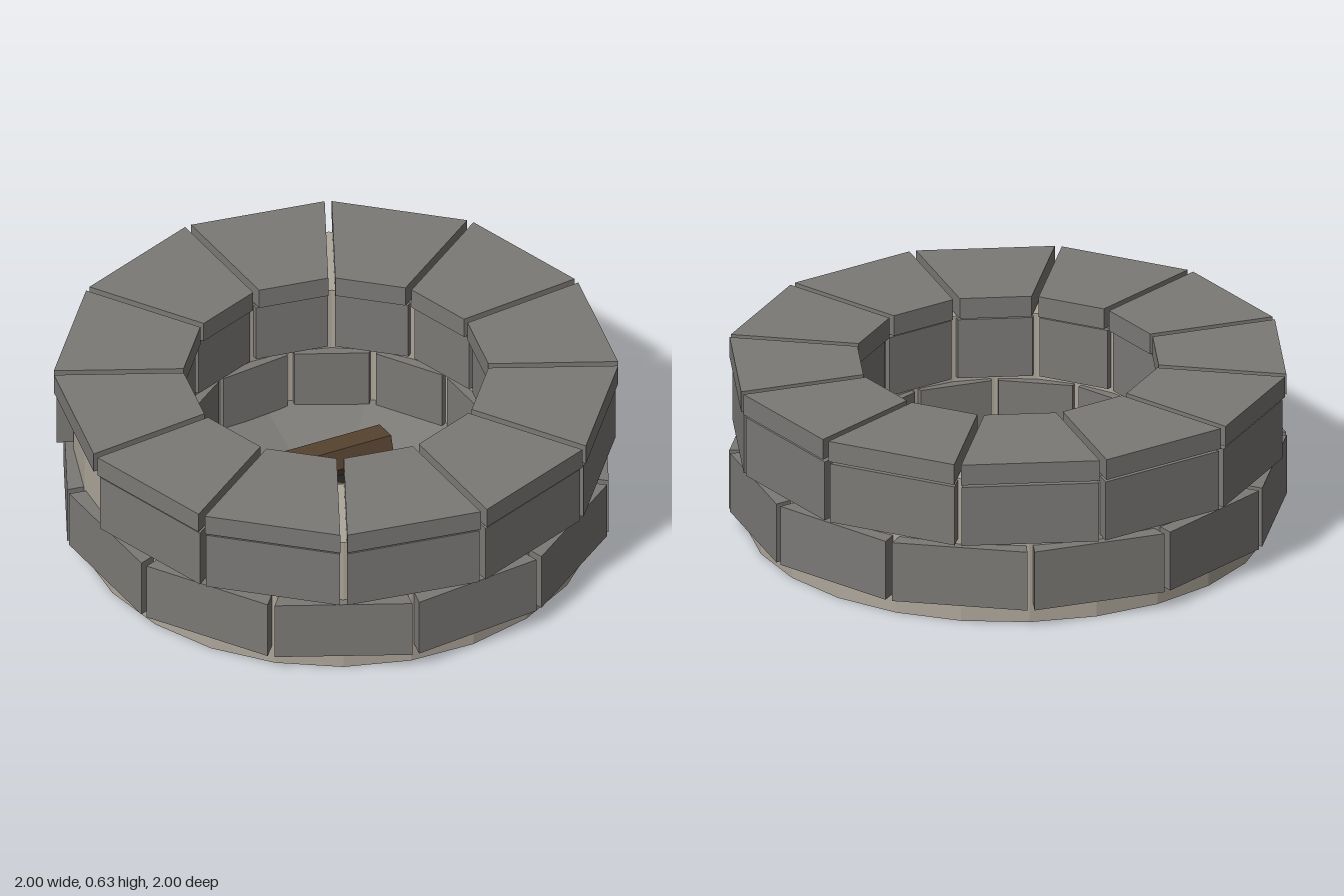
import * as THREE from 'three';

const mat = (name, color, side = THREE.FrontSide) => {
  const m = new THREE.MeshStandardMaterial({ color, side });
  m.name = name;
  return m;
};

const flat = (geo) => {
  const g = geo.index ? geo.toNonIndexed() : geo;
  g.computeVertexNormals();
  return g;
};

const part = (name, geo, material, parent) => {
  const mesh = new THREE.Mesh(geo, material);
  mesh.name = name;
  parent.add(mesh);
  return mesh;
};

const COUNT = 12;
const HALF_GAP = 0.0125;

// Wedge-shaped block centred on +z, with parallel-sided joints
function blockGeometry(inner, outer, y0, y1) {
  const corner = (r, s) => {
    const a = s * (Math.PI / COUNT - Math.asin(HALF_GAP / r));
    return new THREE.Vector2(r * Math.sin(a), -r * Math.cos(a));
  };
  const shape = new THREE.Shape([corner(outer, -1), corner(outer, 1), corner(inner, 1), corner(inner, -1)]);
  const geo = new THREE.ExtrudeGeometry(shape, { depth: y1 - y0, bevelEnabled: false });
  return geo.rotateX(-Math.PI / 2).translate(0, y0, 0);
}

// Six-sided log between two points
function log(name, from, to, radius, material, parent) {
  const a = new THREE.Vector3(...from);
  const b = new THREE.Vector3(...to);
  const dir = b.clone().sub(a);
  const geo = flat(new THREE.CylinderGeometry(radius, radius, dir.length(), 6));
  const mesh = part(name, geo, material, parent);
  mesh.position.copy(a).add(b).multiplyScalar(0.5);
  mesh.quaternion.setFromUnitVectors(new THREE.Vector3(0, 1, 0), dir.normalize());
}

export function createModel() {
  const root = new THREE.Group();
  root.name = 'firePit';

  const stone = mat('stone grey', 0x7b7976);
  const bowlStone = mat('bowl grey', 0x7b7976, THREE.DoubleSide);
  const mortar = mat('mortar tan', 0xaea69a, THREE.DoubleSide);
  const ash = mat('ash black', 0x222222, THREE.DoubleSide);
  const wood = mat('log brown', 0x5a4632);

  // Rows of blocks; the middle row has one block missing
  const rows = [
    { name: 'lowerBlocks', inner: 0.56, outer: 0.99, y0: 0.07, y1: 0.295, turn: 0 },
    { name: 'middleBlocks', inner: 0.56, outer: 0.99, y0: 0.315, y1: 0.54, turn: 0.5, missing: 10 },
    { name: 'capStones', inner: 0.54, outer: 1.0, y0: 0.552, y1: 0.63, turn: 0.5 },
  ];
  for (const row of rows) {
    const group = new THREE.Group();
    group.name = row.name;
    const geo = blockGeometry(row.inner, row.outer, row.y0, row.y1);
    for (let i = 0; i < COUNT; i++) {
      if (i === row.missing) continue;
      part('block', geo, stone, group).rotation.y = ((i + row.turn) * 2 * Math.PI) / COUNT;
    }
    root.add(group);
  }

  // Mortar core: inner wall, top and outer wall, open underneath
  const profile = [[0.58, 0], [0.58, 0.547], [0.93, 0.547], [0.93, 0]].map((p) => new THREE.Vector2(...p));
  part('mortarCore', flat(new THREE.LatheGeometry(profile, 24)), mortar, root);

  // Shallow sloped bowl and ash bed
  const bowl = new THREE.CylinderGeometry(0.605, 0.32, 0.075, 10, 1, true);
  part('bowl', flat(bowl.rotateY(Math.PI / 2).translate(0, 0.0425, 0)), bowlStone, root);
  part('ashBed', new THREE.CircleGeometry(0.32, 10).rotateX(-Math.PI / 2).translate(0, 0.005, 0), ash, root);

  // Crossed logs
  const logs = new THREE.Group();
  logs.name = 'logs';
  log('lowerLog', [0.3, 0.08, -0.04], [-0.28, 0.08, 0.13], 0.075, wood, logs);
  log('upperLog', [0.035, 0.13, -0.28], [-0.2, 0.22, 0.23], 0.07, wood, logs);
  root.add(logs);

  return root;
}
